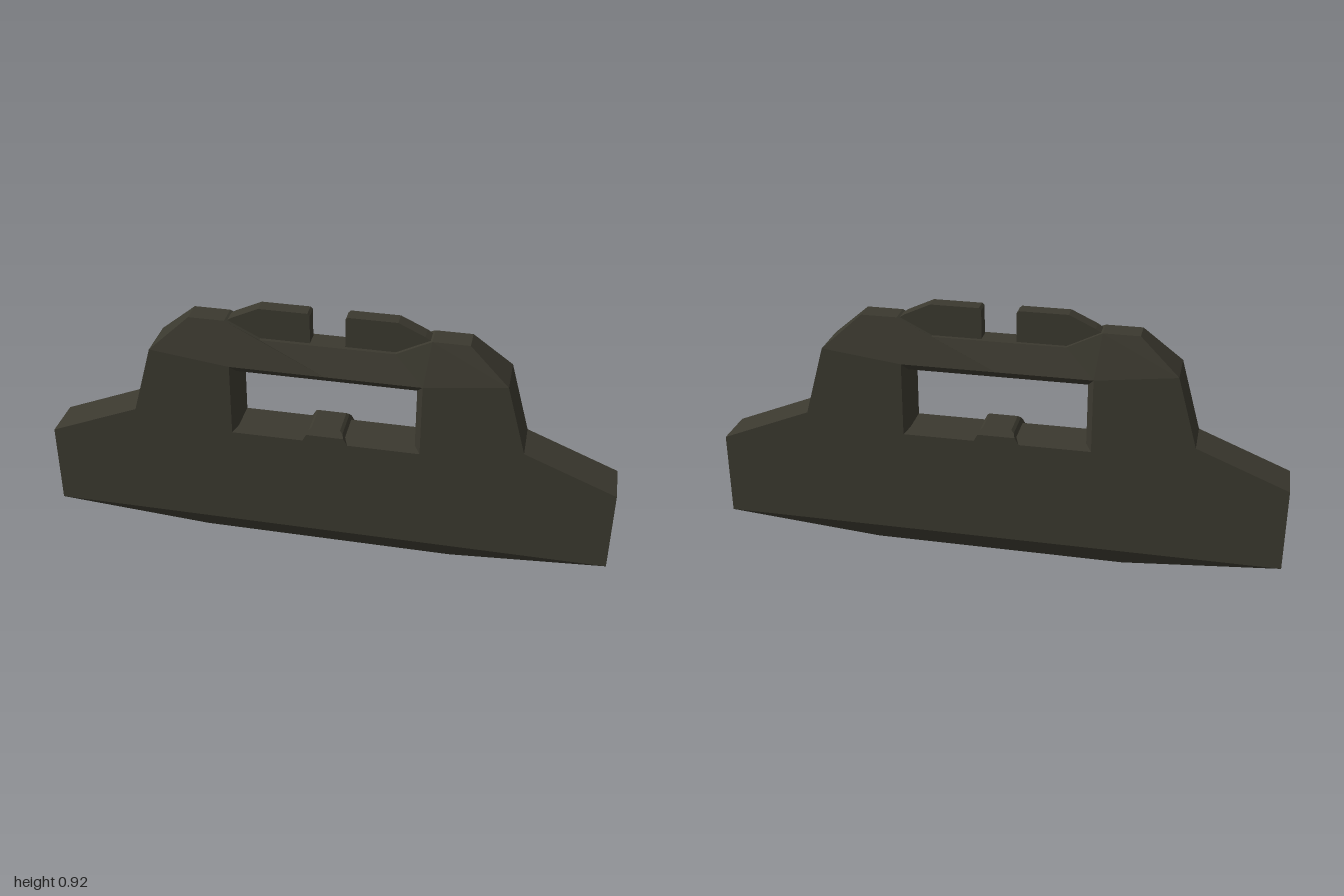
import * as THREE from 'three';

const T = 0.077; // half thickness of the slab
const CREST = 0.04; // half thickness along the top edge
const KEEL = 0.037; // half thickness along the bottom edge

// Collects polygons, repeats them mirrored, and makes a flat-shaded geometry.
function facetBuilder() {
  const pos = [];
  const add = (poly, sx, sz) => {
    const p = poly.map(([x, y, z]) => [x * sx, y, z * sz]);
    if (sx * sz < 0) p.reverse();
    for (let i = 1; i < p.length - 1; i++) pos.push(...p[0], ...p[i], ...p[i + 1]);
  };
  return {
    // a front polygon of the +x half, copied to all four quarters
    quarter(poly) {
      for (const sx of [1, -1]) for (const sz of [1, -1]) add(poly, sx, sz);
    },
    // a polygon running from front to back, copied to both sides
    half(poly) {
      for (const sx of [1, -1]) add(poly, sx, 1);
    },
    build() {
      const g = new THREE.BufferGeometry();
      g.setAttribute('position', new THREE.Float32BufferAttribute(pos, 3));
      g.computeVertexNormals();
      return g;
    },
  };
}

const back = ([x, y, z]) => [x, y, -z];

// Walls joining the front outline to the back outline
function addWalls(f, outline) {
  for (let i = 0; i < outline.length - 1; i++) {
    const a = outline[i], b = outline[i + 1];
    f.half([a, back(a), back(b), b]);
  }
}

function bodyGeometry() {
  const f = facetBuilder();
  const keelMid = [0, 0, KEEL], keel = [0.45, 0, KEEL];
  const low = [1, 0.07, T], tip = [1, 0.37, T], neck = [0.68, 0.5, T];
  const shoulder = [0.61, 0.75, T], crown = [0.475, 0.87, CREST];
  const crownIn = [0.35, 0.87, CREST], dip = [0.23, 0.81, CREST], dipMid = [0, 0.81, CREST];
  // window rim on the face and the narrower opening behind its bevel
  const rim = [[0, 0.45, T], [0.33, 0.45, T], [0.33, 0.715, T], [0, 0.715, T]];
  const inner = [[0, 0.47, 0.057], [0.31, 0.47, 0.057], [0.31, 0.69, 0.057], [0, 0.69, 0.057]];

  // bottom bevel
  f.quarter([keelMid, keel, low, [0, 0.07, T]]);
  // flat faces round the window
  f.quarter([[0, 0.07, T], low, rim[1], rim[0]]);
  f.quarter([low, tip, neck, rim[1]]);
  f.quarter([rim[1], neck, shoulder, rim[2]]);
  // sloping upper faces
  f.quarter([shoulder, crown, crownIn, rim[2]]);
  f.quarter([rim[2], crownIn, dip, dipMid, rim[3]]);
  // window bevel and tunnel
  for (let i = 0; i < 3; i++) {
    f.quarter([rim[i], rim[i + 1], inner[i + 1], inner[i]]);
    f.half([inner[i], inner[i + 1], back(inner[i + 1]), back(inner[i])]);
  }
  // outer walls
  addWalls(f, [keelMid, keel, low, tip, neck, shoulder, crown, crownIn, dip, dipMid]);
  return f.build();
}

// Bevelled stop in the middle of the window sill
function tabGeometry() {
  const f = facetBuilder();
  const side = [[0.08, 0.448, T], [0.065, 0.475, T], [0.06, 0.487, 0.065], [0.05, 0.495, 0.057], [0, 0.495, 0.057]];
  for (let i = 0; i < 3; i++) {
    const a = side[i], b = side[i + 1];
    f.quarter([[0, a[1], a[2]], a, b, [0, b[1], b[2]]]);
  }
  addWalls(f, side);
  return f.build();
}

// Upright plate on the crest, with clipped corners
function toothGeometry() {
  const points = [[0.06, 0.8], [0.23, 0.8], [0.345, 0.865], [0.325, 0.878], [0.235, 0.92], [0.068, 0.92], [0.06, 0.912]];
  const shape = new THREE.Shape(points.map(([x, y]) => new THREE.Vector2(x, y)));
  const depth = 0.053;
  return new THREE.ExtrudeGeometry(shape, { depth, bevelEnabled: false }).translate(0, 0, -depth / 2);
}

export function createModel() {
  const darkOlive = new THREE.MeshStandardMaterial({ color: 0x3b392f });
  darkOlive.name = 'darkOlive';
  const group = new THREE.Group();
  group.name = 'slottedPlate';
  const add = (name, geometry) => {
    const mesh = new THREE.Mesh(geometry, darkOlive);
    mesh.name = name;
    group.add(mesh);
    return mesh;
  };

  add('body', bodyGeometry());
  add('sillTab', tabGeometry());
  const tooth = toothGeometry();
  add('leftTooth', tooth);
  // half a turn mirrors the symmetric plate to the other side
  add('rightTooth', tooth).rotation.y = Math.PI;
  return group;
}
